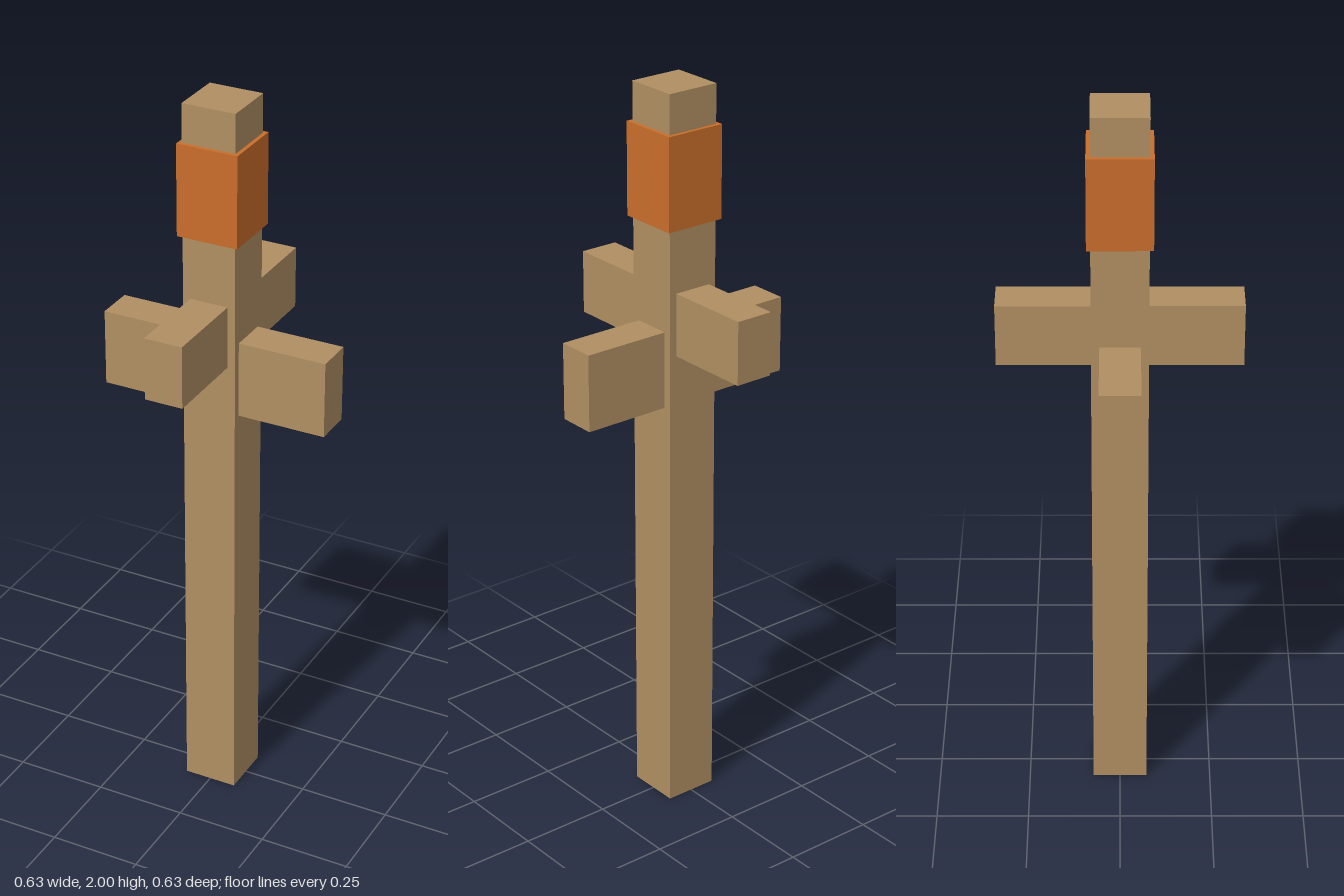
import * as THREE from 'three';

export function createModel() {
  const model = new THREE.Group();
  const wood = new THREE.MeshStandardMaterial({ color: 0xb08f62 });
  wood.name = 'wood';
  const orange = new THREE.MeshStandardMaterial({ color: 0xc96d2b });
  orange.name = 'orange';

  // Box centred on the vertical axis, spanning bottom to top
  function addBox(name, width, depth, bottom, top, material) {
    const mesh = new THREE.Mesh(new THREE.BoxGeometry(width, top - bottom, depth), material);
    mesh.name = name;
    mesh.position.y = (bottom + top) / 2;
    model.add(mesh);
  }

  // Upright post with a band wrapped near the top
  addBox('post', 0.147, 0.147, 0, 2, wood);
  addBox('band', 0.168, 0.168, 1.648, 1.896, orange);

  // Two crossing beams at different heights, passing through the post
  addBox('sideBeam', 0.63, 0.105, 1.163, 1.371, wood);
  addBox('frontBackBeam', 0.105, 0.63, 1.307, 1.477, wood);

  return model;
}
